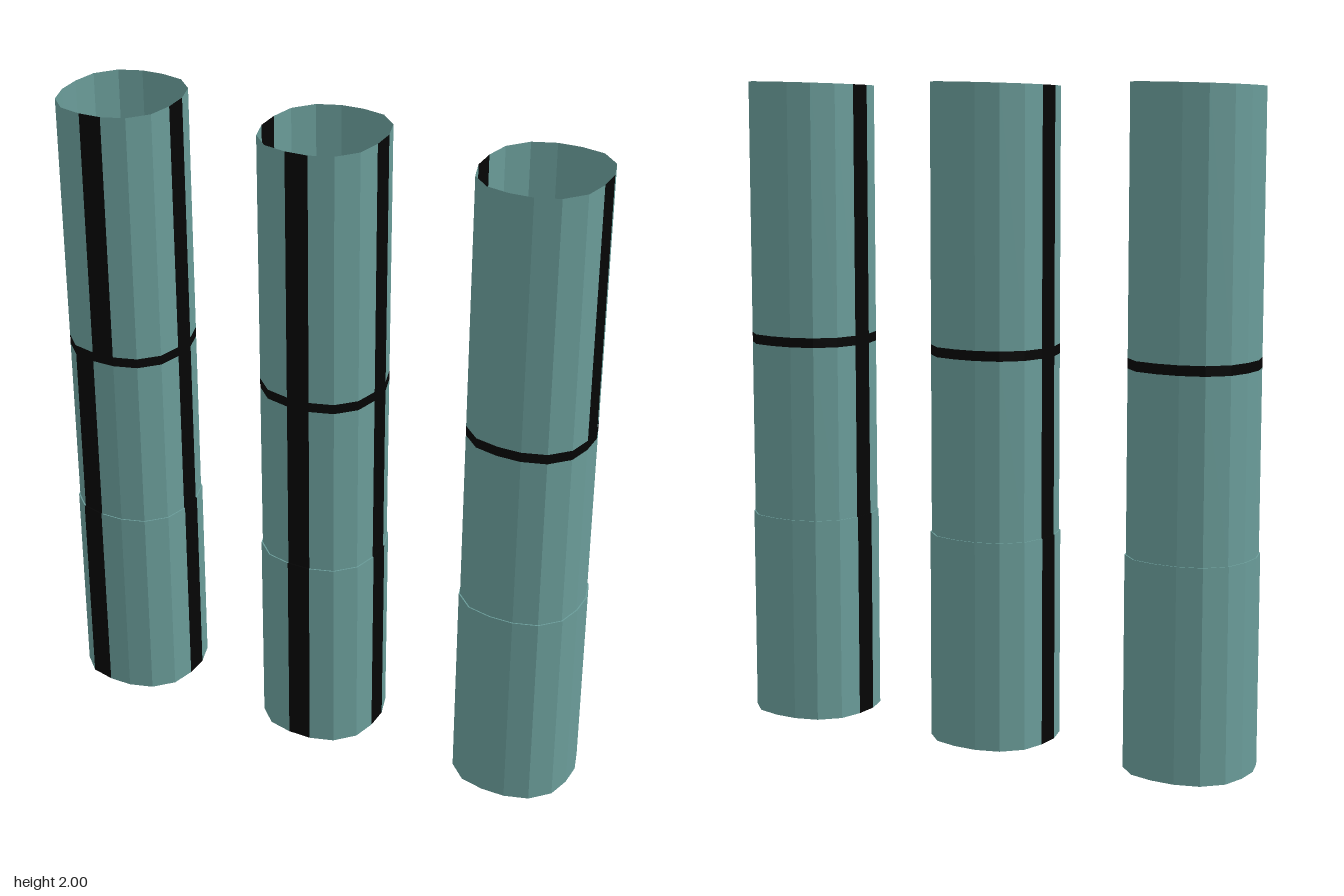
import * as THREE from 'three';

const teal = new THREE.MeshStandardMaterial({ color: 0x6a9c99, side: THREE.DoubleSide });
teal.name = 'dusty teal';
const black = new THREE.MeshStandardMaterial({ color: 0x050505, side: THREE.DoubleSide });
black.name = 'black';

const SIDES = 16;
const RADII = [0.199, 0.199, 0.19, 0.188]; // slightly uneven ring, repeating each quarter

// Corner k of the ring at height y, with a barely tilted top rim
function corner(k, scale, y) {
  const a = THREE.MathUtils.degToRad(-87.1 + (360 / SIDES) * k);
  const r = RADII[k % 4] * scale;
  const x = r * Math.cos(a) - 0.002;
  const z = r * Math.sin(a) - 0.003;
  return [x, y === 2 ? 1.993 + 0.035 * x : y, z];
}

// Sections from bottom to top: wider sleeve, step, middle, band, upper
const SECTIONS = [
  { y: [0, 0.64], s: [1, 1], stripe: 'lower' },
  { y: [0.64, 0.64], s: [1, 0.98], stripe: 'lower' },
  { y: [0.64, 1.185], s: [0.98, 0.98], stripe: 'lower' },
  { y: [1.185, 1.215], s: [0.98, 0.98], stripe: 'band' },
  { y: [1.215, 2], s: [0.98, 0.98], stripe: 'upper' },
];

function addMesh(group, name, positions, material) {
  const g = new THREE.BufferGeometry();
  g.setAttribute('position', new THREE.Float32BufferAttribute(positions, 3));
  g.computeVertexNormals(); // separate corners keep every facet flat
  const mesh = new THREE.Mesh(g, material);
  mesh.name = name;
  group.add(mesh);
}

// One open tube; lower and upper list the facets painted black
function makeTube(name, x, z, lower, upper) {
  const tube = new THREE.Group();
  tube.name = name;
  tube.position.set(x, 0, z);
  const painted = { lower, upper };
  const wall = [], stripes = [], band = [];
  for (const { y, s, stripe } of SECTIONS) {
    for (let k = 0; k < SIDES; k++) {
      const n = (k + 1) % SIDES;
      const a = corner(k, s[0], y[0]), b = corner(n, s[0], y[0]);
      const c = corner(n, s[1], y[1]), d = corner(k, s[1], y[1]);
      const target = stripe === 'band' ? band : painted[stripe].includes(k) ? stripes : wall;
      target.push(...a, ...d, ...c, ...a, ...c, ...b);
    }
  }
  addMesh(tube, 'tubeWall', wall, teal);
  addMesh(tube, 'tubeStripes', stripes, black);
  addMesh(tube, 'tubeBand', band, black);
  return tube;
}

export function createModel() {
  const model = new THREE.Group();
  model.name = 'tubeRow';
  model.add(
    makeTube('backTube', -0.343, -0.566, [6, 11], [6, 10]),
    makeTube('middleTube', 0, 0, [6, 10, 14], [6, 10, 14]),
    makeTube('frontTube', 0.343, 0.569, [14], [6, 14]),
  );
  return model;
}
